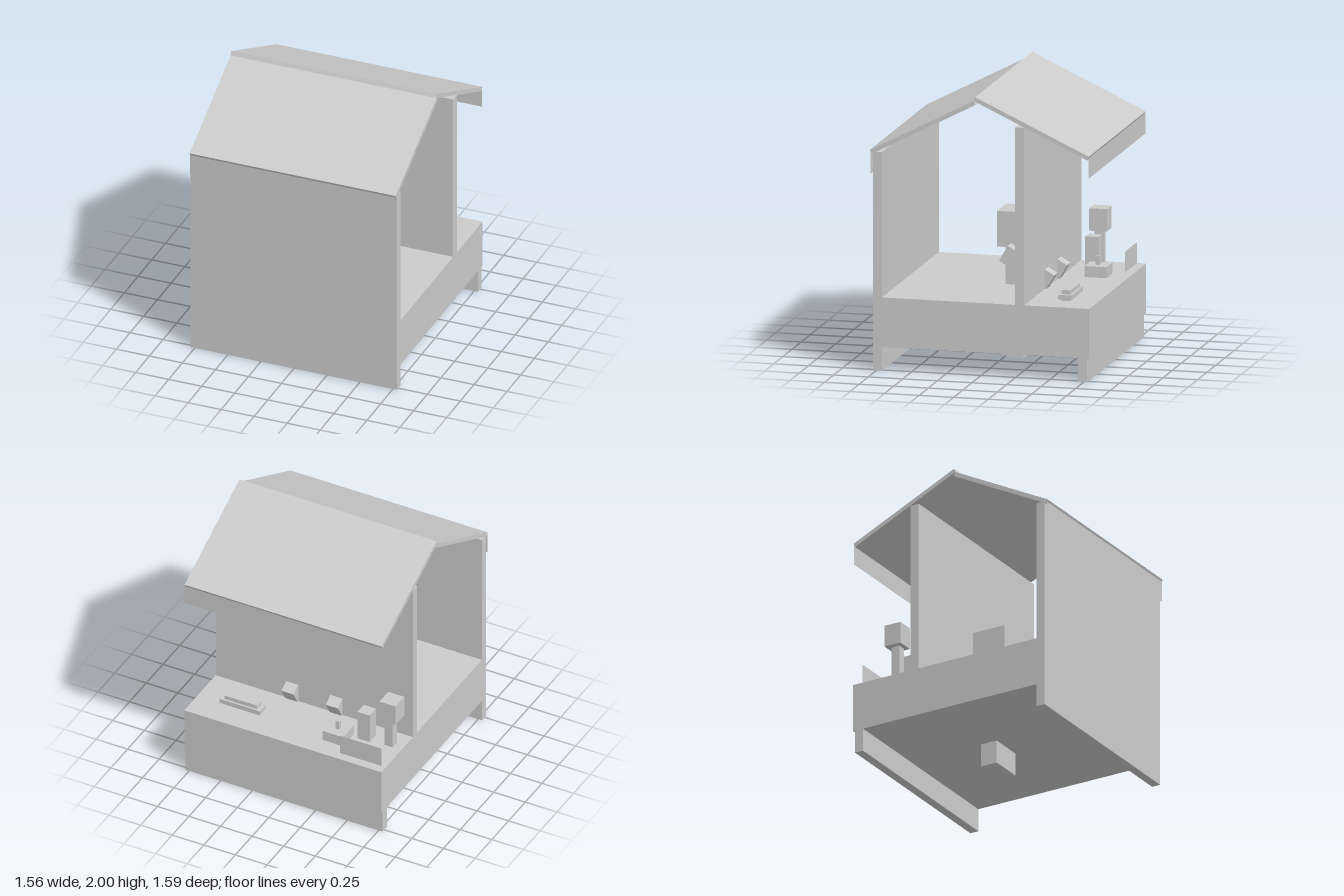
import * as THREE from 'three';

export function createModel() {
  const model = new THREE.Group();
  const grey = new THREE.MeshStandardMaterial({ color: 0xcccccc, flatShading: true });
  const thin = grey.clone();
  thin.side = THREE.DoubleSide;

  const group = (name) => {
    const g = new THREE.Group();
    g.name = name;
    model.add(g);
    return g;
  };

  // Box given by its [min, max] range on each axis
  const block = (parent, name, [x0, x1], [y0, y1], [z0, z1]) => {
    const mesh = new THREE.Mesh(new THREE.BoxGeometry(x1 - x0, y1 - y0, z1 - z0), grey);
    mesh.name = name;
    mesh.position.set((x0 + x1) / 2, (y0 + y1) / 2, (z0 + z1) / 2);
    parent.add(mesh);
  };

  // Box of a given size, pitched about the x axis
  const tilted = (parent, name, size, position, angle) => {
    const mesh = new THREE.Mesh(new THREE.BoxGeometry(...size), grey);
    mesh.name = name;
    mesh.position.set(...position);
    mesh.rotation.x = angle;
    parent.add(mesh);
  };

  // Flat upright panel facing z
  const panel = (parent, name, [x0, x1], [y0, y1], z) => {
    const mesh = new THREE.Mesh(new THREE.PlaneGeometry(x1 - x0, y1 - y0), thin);
    mesh.name = name;
    mesh.position.set((x0 + x1) / 2, (y0 + y1) / 2, z);
    parent.add(mesh);
  };

  // Stall body
  const width = [-0.78, 0.78];
  const stall = group('stall');
  block(stall, 'counterBase', width, [0.17, 0.525], [-0.79, 0.71]);
  block(stall, 'tallWall', width, [0, 1.565], [0.71, 0.775]);
  block(stall, 'middleWall', width, [0.525, 1.795], [-0.32, -0.255]);
  block(stall, 'footRail', width, [0, 0.17], [-0.775, -0.71]);

  // Pitched roof with hanging valances
  const roof = group('roof');
  tilted(roof, 'frontRoofSlab', [1.56, 0.031, 0.848], [0, 1.758, 0.414], 0.48);
  tilted(roof, 'backRoofSlab', [1.56, 0.03, 0.906], [0, 1.791, -0.37], -0.434);
  panel(roof, 'frontValance', width, [1.405, 1.56], 0.792);
  panel(roof, 'backValance', width, [1.455, 1.6], -0.784);

  // Blocky vendor facing the counter, arms reaching through the wall
  const vendor = group('vendor');
  block(vendor, 'head', [-0.127, 0.127], [0.79, 1.045], [-0.205, 0.05]);
  block(vendor, 'torso', [-0.127, 0.127], [0.4, 0.79], [-0.14, -0.012]);
  for (const side of [-1, 1]) {
    const leg = side > 0 ? [0, 0.127] : [-0.127, 0];
    block(vendor, 'leg', leg, [0, 0.4], [-0.14, -0.012]);
    tilted(vendor, 'arm', [0.096, 0.127, 0.388], [side * 0.175, 0.668, -0.19], -0.5236);
  }

  // Snack: long filling across a wider slab
  const snack = group('snack');
  block(snack, 'snackSlab', [0.277, 0.597], [0.54, 0.573], [-0.612, -0.517]);
  block(snack, 'snackFilling', [0.305, 0.565], [0.525, 0.603], [-0.597, -0.533]);

  // Low dispenser with a small spout
  const dispenser = group('dispenser');
  block(dispenser, 'dispenserBase', [-0.4, -0.238], [0.525, 0.603], [-0.645, -0.485]);
  block(dispenser, 'dispenserSpout', [-0.332, -0.304], [0.603, 0.668], [-0.578, -0.55]);

  // Tall canister
  const canister = group('canister');
  block(canister, 'canisterBody', [-0.55, -0.452], [0.54, 0.768], [-0.53, -0.435]);

  // Box on a stem
  const stand = group('boxStand');
  block(stand, 'standStem', [-0.722, -0.658], [0.54, 0.77], [-0.512, -0.448]);
  block(stand, 'standBox', [-0.762, -0.635], [0.77, 0.93], [-0.545, -0.415]);

  // Upright card at the counter edge
  panel(group('counterSign'), 'signCard', [-0.75, -0.42], [0.53, 0.68], -0.73);

  return model;
}
